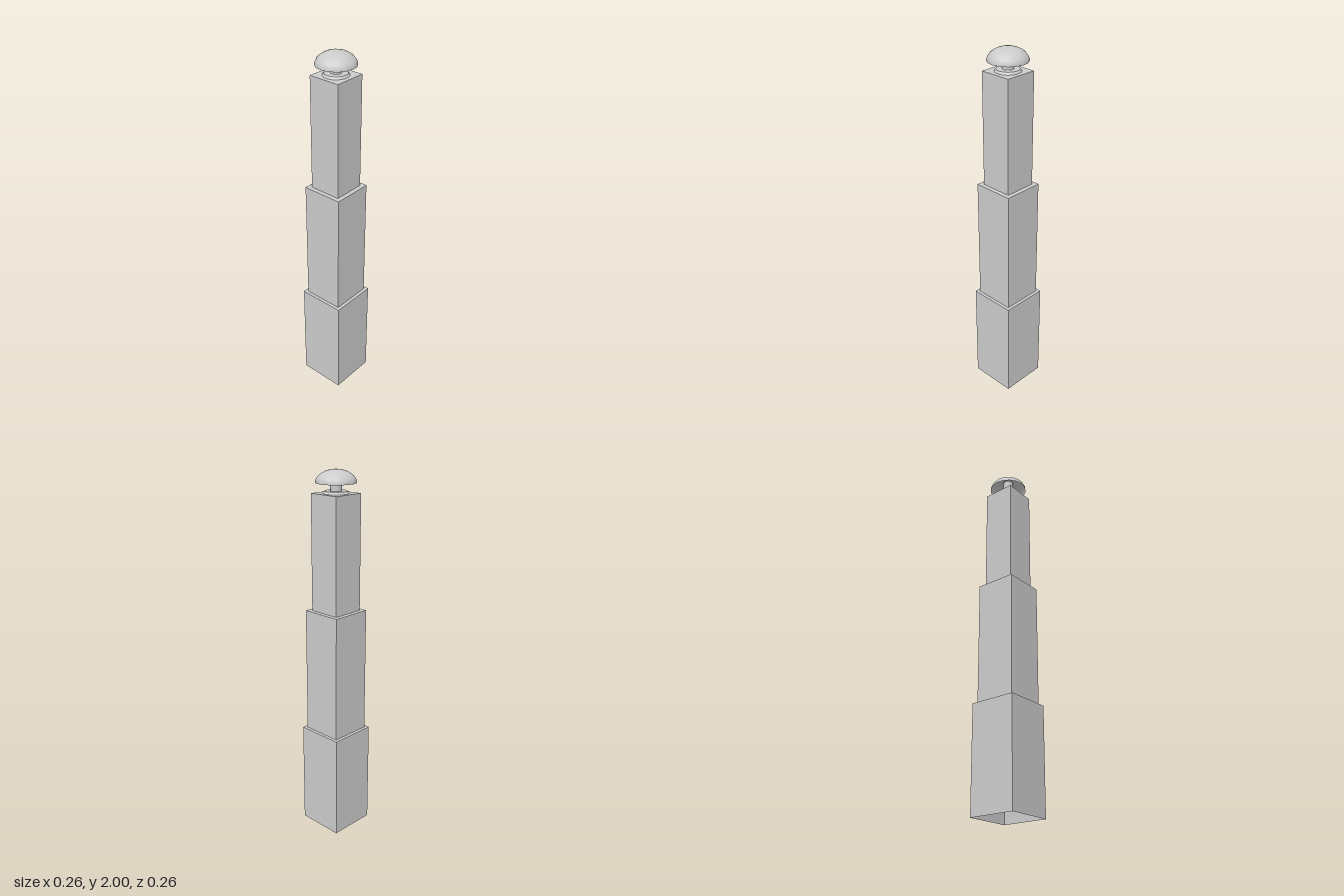
import * as THREE from 'three';

const material = new THREE.MeshStandardMaterial({ color: 0xcccccc, side: THREE.DoubleSide });

// Square sleeve with a closed top and an open underside
function openBox(half, bottom, top) {
  const geometry = new THREE.BoxGeometry(half * 2, top - bottom, half * 2);
  const index = Array.from(geometry.index.array);
  index.splice(18, 6); // drop the bottom face
  geometry.setIndex(index);
  geometry.clearGroups();
  geometry.translate(0, (bottom + top) / 2, 0);
  return geometry;
}

export function createModel() {
  const group = new THREE.Group();
  const add = (name, geometry) => {
    const mesh = new THREE.Mesh(geometry, material);
    mesh.name = name;
    group.add(mesh);
    return mesh;
  };

  // Three stacked, narrowing column sections
  add('lowerSection', openBox(0.131, 0, 0.582));
  add('middleSection', openBox(0.113, 0.582, 1.27));
  add('upperSection', openBox(0.089, 1.27, 1.882));

  // Low collar at the foot of the stem
  const collar = new THREE.CylinderGeometry(0.06, 0.068, 0.012, 16);
  add('collar', collar).position.y = 1.888;

  // Stem reaching up into the cap
  const stem = new THREE.CylinderGeometry(0.029, 0.029, 0.1, 16);
  add('stem', stem).position.y = 1.935;

  // Hollow flattened dome
  const dome = new THREE.SphereGeometry(0.105, 16, 8, 0, Math.PI * 2, 0, Math.PI / 2);
  dome.scale(1, 0.067 / 0.105, 1);
  add('domeCap', dome).position.y = 1.933;

  return group;
}
